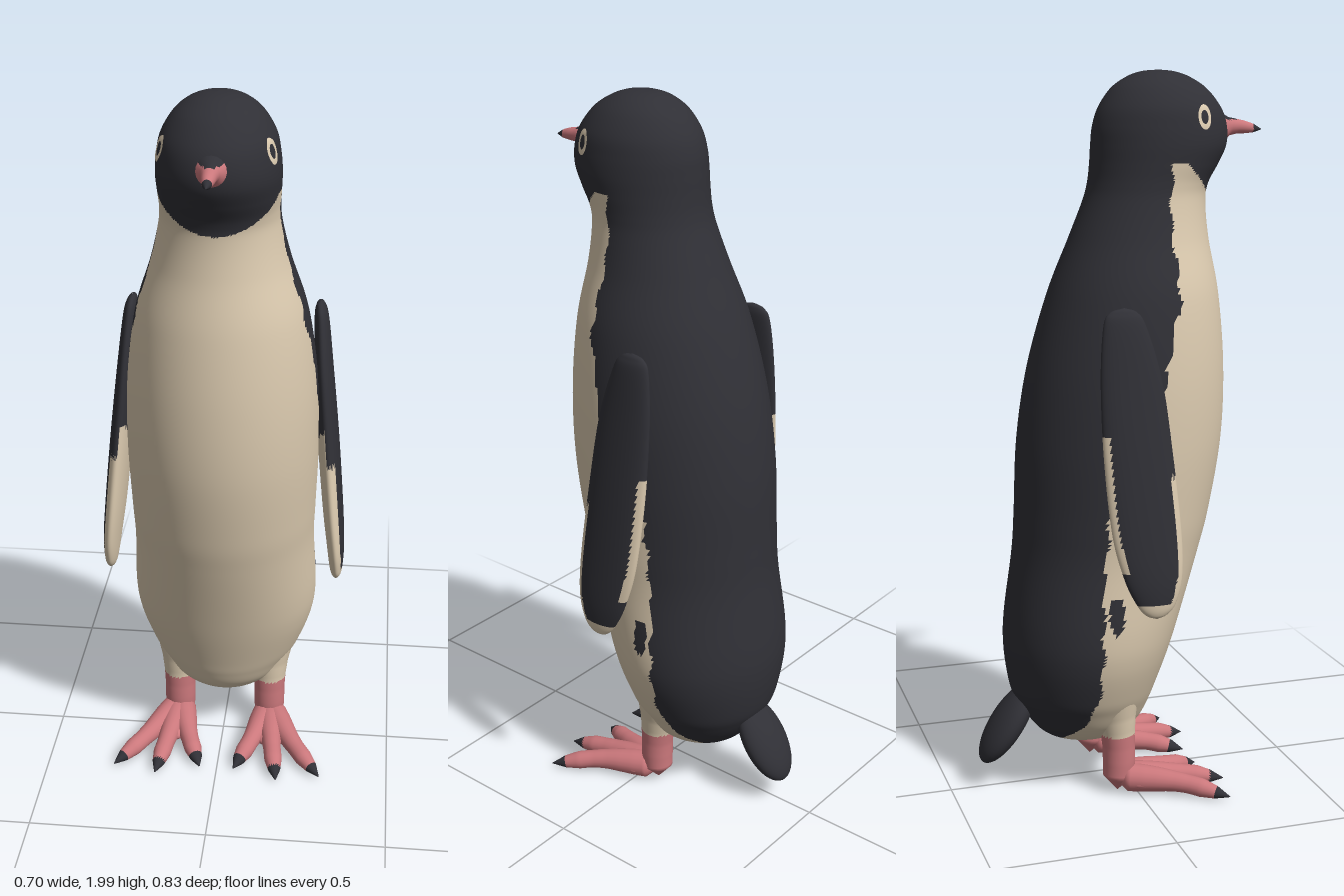
import * as THREE from 'three';
import { mergeVertices } from 'three/addons/utils/BufferGeometryUtils.js';

const material = (name, color) => {
  const m = new THREE.MeshStandardMaterial({ color });
  m.name = name;
  return m;
};
const black = material('black feathers', 0x303036);
const cream = material('cream feathers', 0xdccbb0);
const pink = material('pink skin', 0xcb787c);

// Linear lookup in rows sorted by falling first value
function lookup(rows, key, col) {
  let i = 0;
  while (i < rows.length - 2 && rows[i + 1][0] > key) i++;
  const [a, b] = [rows[i], rows[i + 1]];
  const t = THREE.MathUtils.clamp((key - a[0]) / (b[0] - a[0]), 0, 1);
  return a[col] + (b[col] - a[col]) * t;
}

function smooth(geo) {
  geo.deleteAttribute('normal');
  geo.deleteAttribute('uv');
  const g = mergeVertices(geo, 1e-5);
  g.computeVertexNormals();
  return g;
}

// Ellipse sections [y, centreX, centreZ, radiusX, radiusZ], listed from top to bottom
function loft(sections, rows, cols) {
  const mid = new THREE.CatmullRomCurve3(sections.map(s => new THREE.Vector3(s[1], s[0], s[2])), false, 'catmullrom');
  const rad = new THREE.CatmullRomCurve3(sections.map(s => new THREE.Vector3(s[3], 0, s[4])), false, 'catmullrom');
  const pos = [], index = [];
  for (let i = 0; i <= rows; i++) {
    const c = mid.getPoint(i / rows), r = rad.getPoint(i / rows);
    for (let j = 0; j < cols; j++) {
      const a = j / cols * Math.PI * 2;
      pos.push(c.x + r.x * Math.sin(a), c.y, c.z + r.z * Math.cos(a));
      if (i === rows) continue;
      const k = (j + 1) % cols, p = i * cols, q = p + cols;
      index.push(p + j, q + j, p + k, q + j, q + k, p + k);
    }
  }
  const g = new THREE.BufferGeometry();
  g.setAttribute('position', new THREE.Float32BufferAttribute(pos, 3));
  g.setIndex(index);
  return smooth(g);
}

// Tube whose radius follows an evenly spaced list
function limb(points, radii, segments = 32, sides = 20) {
  const curve = new THREE.CatmullRomCurve3(points.map(p => new THREE.Vector3(...p)));
  const g = new THREE.TubeGeometry(curve, segments, 1, sides);
  const p = g.attributes.position, v = new THREE.Vector3();
  for (let i = 0; i < p.count; i++) {
    const u = Math.floor(i / (sides + 1)) / segments, c = curve.getPointAt(u);
    const f = u * (radii.length - 1), k = Math.min(Math.floor(f), radii.length - 2);
    const r = radii[k] + (radii[k + 1] - radii[k]) * (f - k);
    v.fromBufferAttribute(p, i).sub(c).multiplyScalar(r).add(c);
    p.setXYZ(i, v.x, v.y, v.z);
  }
  return smooth(g);
}

// Sort faces into two colours by a rule on the face centre
function painted(name, geo, base, other, rule) {
  const p = geo.attributes.position, old = geo.index.array, sets = [[], []];
  const at = k => new THREE.Vector3().fromBufferAttribute(p, k);
  for (let i = 0; i < old.length; i += 3) {
    const c = at(old[i]).add(at(old[i + 1])).add(at(old[i + 2])).divideScalar(3);
    sets[rule(c) ? 1 : 0].push(old[i], old[i + 1], old[i + 2]);
  }
  geo.setIndex([...sets[0], ...sets[1]]);
  geo.addGroup(0, sets[0].length, 0);
  geo.addGroup(sets[0].length, sets[1].length, 1);
  const mesh = new THREE.Mesh(geo, [base, other]);
  mesh.name = name;
  return mesh;
}

// Body and head outline: y, front z, back z, half width
const outline = [
  [2.0, 0.11, 0.109, 0.001], [1.995, 0.155, 0.06, 0.042], [1.98, 0.197, 0.02, 0.08],
  [1.95, 0.243, -0.022, 0.115], [1.9, 0.283, -0.056, 0.145], [1.85, 0.3, -0.072, 0.156],
  [1.8, 0.298, -0.077, 0.16], [1.75, 0.274, -0.08, 0.158], [1.7, 0.246, -0.086, 0.156],
  [1.65, 0.238, -0.1, 0.161], [1.55, 0.247, -0.14, 0.185], [1.4, 0.274, -0.2, 0.232],
  [1.2, 0.29, -0.258, 0.26], [1.0, 0.284, -0.29, 0.267], [0.8, 0.25, -0.3, 0.262],
  [0.68, 0.218, -0.308, 0.259], [0.5, 0.162, -0.332, 0.267], [0.4, 0.13, -0.335, 0.257],
  [0.3, 0.095, -0.322, 0.224], [0.25, 0.077, -0.303, 0.197], [0.2, 0.052, -0.27, 0.165],
  [0.16, 0.01, -0.232, 0.12], [0.142, -0.04, -0.18, 0.065], [0.137, -0.109, -0.11, 0.001],
];
// Border between dark back and pale belly: y, z
const border = [
  [1.76, 0.1], [1.6, 0.09], [1.4, 0.1], [1.3, 0.07], [1.2, 0.05], [1.1, 0.02], [1.0, -0.07],
  [0.9, -0.1], [0.6, -0.125], [0.3, -0.13], [0.2, -0.17], [0.14, -0.21],
];

function isBelly({ x, y, z }) {
  const chin = 1.665 + THREE.MathUtils.clamp(0.24 - z, 0, 0.1) * 0.9;
  const flankSpot = Math.hypot((y - 0.56) / 0.055, (z + 0.09) / 0.02) < 1;
  return y < chin && z > lookup(border, y, 1) + 0.006 * Math.sin(y * 60) && !flankSpot;
}

// Pale oval ring that follows the side of the head
function eyeRing(s) {
  const g = new THREE.RingGeometry(0.55, 1, 32, 2), p = g.attributes.position;
  for (let i = 0; i < p.count; i++) {
    const y = 1.875 + p.getY(i) * 0.033, z = 0.192 - s * p.getX(i) * 0.021;
    const front = lookup(outline, y, 1), back = lookup(outline, y, 2);
    const k = (z - (front + back) / 2) / ((front - back) / 2);
    p.setXYZ(i, s * (lookup(outline, y, 3) * Math.sqrt(1 - k * k) + 0.005), y, z);
  }
  g.computeVertexNormals();
  const mesh = new THREE.Mesh(g, cream);
  mesh.name = 'eyeRing';
  return mesh;
}

function flipper(s) {
  // y, centre x, front z, back z, half thickness
  const rows = [
    [1.392, 0.258, -0.069, -0.071, 0.001], [1.38, 0.259, -0.035, -0.11, 0.012], [1.34, 0.263, -0.01, -0.128, 0.02],
    [1.2, 0.274, 0.03, -0.138, 0.026], [1.0, 0.292, 0.055, -0.135, 0.03], [0.8, 0.311, 0.073, -0.118, 0.029],
    [0.68, 0.323, 0.072, -0.088, 0.025], [0.61, 0.327, 0.054, -0.055, 0.019], [0.58, 0.328, 0.03, -0.03, 0.012],
    [0.568, 0.328, 0.001, -0.001, 0.001],
  ];
  const geo = loft(rows.map(([y, x, f, b, t]) => [y, s * x, (f + b) / 2, t, (f - b) / 2]), 90, 48);
  return painted(s > 0 ? 'leftFlipper' : 'rightFlipper', geo, black, cream, ({ x, y, z }) => {
    const inner = s * x < lookup(rows, y, 1) - 0.004;
    const leading = z > lookup(rows, y, 2) - 0.018 && y < 0.95;
    const trailing = z < lookup(rows, y, 3) + 0.015 && y < 1.06 && y > 0.7;
    return (inner && y < 1.0 + z) || leading || trailing || y < 0.61;
  });
}

function leg(s) {
  const group = new THREE.Group();
  group.name = s > 0 ? 'leftLeg' : 'rightLeg';
  const shank = limb([[s * 0.13, 0.36, -0.07], [s * 0.136, 0.2, -0.05], [s * 0.137, 0.1, -0.045], [s * 0.137, 0.008, -0.05]],
    [0.06, 0.08, 0.068, 0.056, 0.049, 0.046, 0.046, 0.044, 0.001], 48, 28);
  group.add(painted('shank', shank, pink, cream, c => c.y > 0.178));
  // Three spread toes with dark claws
  for (const [x, z] of [[0.303, 0.228], [0.178, 0.255], [0.05, 0.215]]) {
    const tip = new THREE.Vector3(s * x, 0.018, z);
    const mx = 0.137 + (x - 0.137) * 0.5;
    const toe = limb([[s * 0.137, 0.05, -0.06], [s * mx, 0.042, z * 0.48], [s * x, 0.018, z]],
      [0.005, 0.04, 0.038, 0.034, 0.029, 0.026, 0.026, 0.018, 0.001], 40, 18);
    group.add(painted('toe', toe, pink, black, c => c.distanceTo(tip) < 0.048));
  }
  // Webbed middle of the foot
  const web = new THREE.Mesh(new THREE.SphereGeometry(1, 24, 16), pink);
  web.name = 'footWeb';
  web.scale.set(0.062, 0.028, 0.085);
  web.position.set(s * 0.15, 0.04, 0.035);
  group.add(web);
  return group;
}

export function createModel() {
  const model = new THREE.Group();
  model.name = 'penguin';
  const body = loft(outline.map(([y, f, b, w]) => [y, 0, (f + b) / 2, w, (f - b) / 2]), 230, 144);
  model.add(painted('body', body, black, cream, isBelly));

  // Beak with dark ridge and tip
  const beak = limb([[0, 1.846, 0.265], [0, 1.85, 0.33], [0, 1.842, 0.411]], [0.05, 0.042, 0.025, 0.02, 0.017, 0.012, 0.001]);
  model.add(painted('beak', beak, pink, black, ({ y, z }) => z > 0.385 || (z < 0.335 && y > 1.868)));

  // Stubby tail pointing down and back
  const tail = new THREE.Mesh(new THREE.SphereGeometry(1, 32, 24), black);
  tail.name = 'tail';
  tail.scale.set(0.078, 0.13, 0.043);
  tail.position.set(0, 0.19, -0.335);
  tail.rotation.x = 0.6;
  model.add(tail);

  for (const s of [1, -1]) model.add(eyeRing(s), flipper(s), leg(s));
  return model;
}
